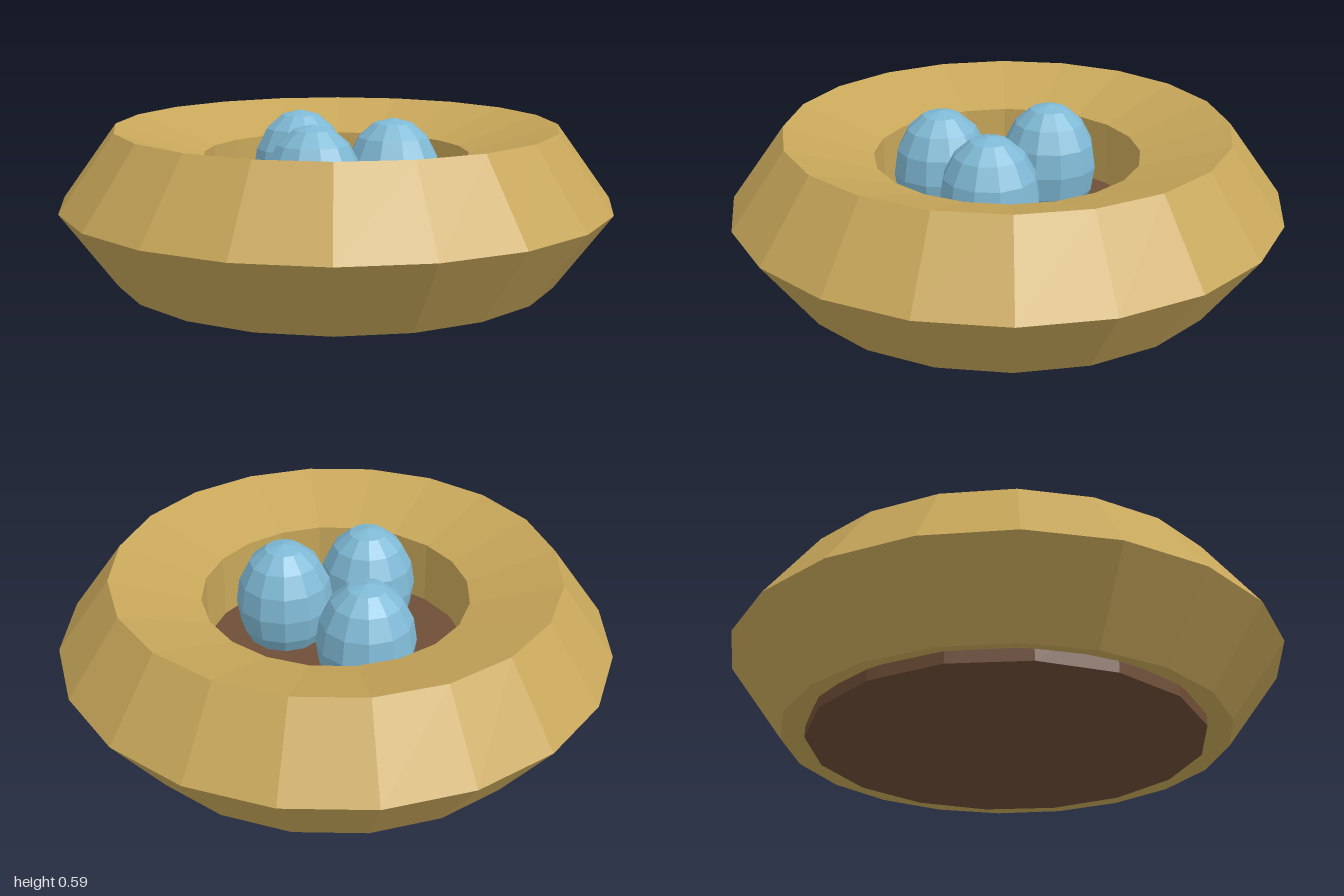
import * as THREE from 'three';

export function createModel() {
  const group = new THREE.Group();
  group.name = 'nest';

  const material = (name, color) => {
    const m = new THREE.MeshStandardMaterial({ color });
    m.name = name;
    return m;
  };
  const straw = material('straw', 0xc8a75a);
  const earth = material('earth', 0x6f4e37);
  const eggBlue = material('egg blue', 0x7fb9d5);

  // Non-indexed geometry with face normals gives the faceted look
  const add = (name, geometry, mat, x, y, z) => {
    const flat = geometry.toNonIndexed();
    flat.computeVertexNormals();
    const mesh = new THREE.Mesh(flat, mat);
    mesh.name = name;
    mesh.position.set(x, y, z);
    group.add(mesh);
    return mesh;
  };

  // Five-sided ring of straw lying flat
  add('rim', new THREE.TorusGeometry(0.714, 0.286, 5, 20).rotateX(Math.PI / 2), straw, 0, 0.286, 0);

  // Solid floor, just peeking out beneath the ring
  add('floor', new THREE.CylinderGeometry(0.714, 0.714, 0.214, 16), earth, 0, 0.107, 0);

  // Three upright eggs resting in the hollow
  const eggSpots = [[-0.179, -0.107], [0.214, 0], [0, 0.25]];
  eggSpots.forEach(([x, z], i) => {
    const egg = new THREE.SphereGeometry(0.179, 12, 8).scale(1, 1.3, 1);
    add(`egg${i + 1}`, egg, eggBlue, x, 0.357, z);
  });

  return group;
}
